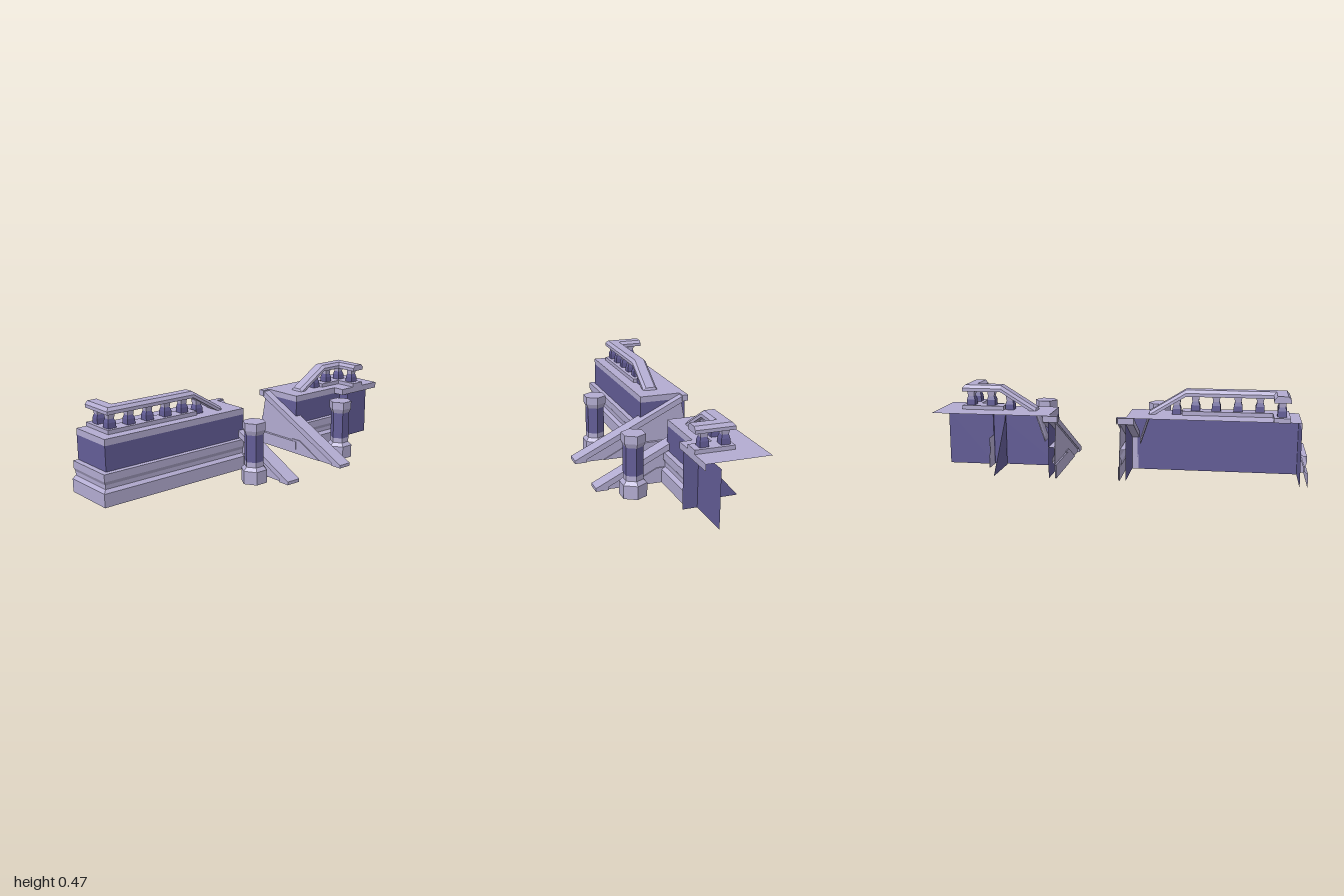
import * as THREE from 'three';

const light = new THREE.MeshStandardMaterial({ color: 0xb3acd1, flatShading: true, side: THREE.DoubleSide });
const dark = new THREE.MeshStandardMaterial({ color: 0x635d97, flatShading: true, side: THREE.DoubleSide });

function add(parent, name, geometry, material) {
  const mesh = new THREE.Mesh(geometry, material);
  mesh.name = name;
  parent.add(mesh);
  return mesh;
}

// Sweeps a profile of [outward, y] along a path of [x, z, drop] with mitred corners
function sweep(path, profile, solid = false) {
  const pos = [], index = [], n = profile.length;
  const normal = (a, b) => new THREE.Vector2(a[1] - b[1], b[0] - a[0]).normalize();
  path.forEach((p, i) => {
    const n1 = normal(path[Math.max(i - 1, 0)], path[Math.max(i, 1)]);
    const last = path.length - 1;
    const n2 = normal(path[Math.min(i, last - 1)], path[Math.min(i + 1, last)]);
    const m = n1.clone().add(n2).divideScalar(1 + n1.dot(n2));
    for (const [o, y] of profile) pos.push(p[0] + m.x * o, y - (p[2] || 0), p[1] + m.y * o);
  });
  const sides = solid ? n : n - 1;
  for (let i = 0; i < path.length - 1; i++)
    for (let j = 0; j < sides; j++) {
      const k = (j + 1) % n, a = i * n, b = a + n;
      index.push(a + j, b + j, b + k, a + j, b + k, a + k);
    }
  if (solid) {
    const e = (path.length - 1) * n;
    for (let j = 1; j < n - 1; j++) index.push(0, j, j + 1, e, e + j + 1, e + j);
  }
  const g = new THREE.BufferGeometry();
  g.setAttribute('position', new THREE.Float32BufferAttribute(pos, 3));
  g.setIndex(index);
  g.computeVertexNormals();
  return g;
}

// Flat horizontal sheet from [x, z] corners
function sheet(points, y) {
  const s = new THREE.Shape(points.map(([x, z]) => new THREE.Vector2(x, -z)));
  return new THREE.ShapeGeometry(s).rotateX(-Math.PI / 2).translate(0, y, 0);
}

// Upright plate from [z, y] corners, thickened from x0 to x1
function sidePlate(points, x0, x1) {
  const s = new THREE.Shape(points.map(([z, y]) => new THREE.Vector2(-z, y)));
  return new THREE.ExtrudeGeometry(s, { depth: x1 - x0, bevelEnabled: false })
    .rotateY(Math.PI / 2).translate(x0, 0, 0);
}

// Prism ring with its own lower and upper radius
function frustum(r0, r1, y0, y1, sides, turn) {
  return new THREE.CylinderGeometry(r1, r0, y1 - y0, sides, 1, false, turn).translate(0, (y0 + y1) / 2, 0);
}

const moulding = [[0.04, 0], [0.04, 0.073], [0.02, 0.088], [0.02, 0.11], [0.03, 0.13], [0.03, 0.17], [0, 0.17]];
const railProfile = [[-0.0425, 0.44], [-0.0425, 0.458], [-0.0275, 0.475], [0.0275, 0.475], [0.0425, 0.458], [0.0425, 0.44]];
const plinthProfile = [[-0.0425, 0.338], [-0.0425, 0.362], [0.0425, 0.362], [0.0425, 0.338]];
const wallProfile = [[0, 0], [0, 0.305]];
const edgeProfile = [[0, 0.305], [0, 0.34]];

function baluster(x, z, drop = 0) {
  const g = new THREE.Group();
  g.name = 'baluster';
  const q = Math.SQRT1_2, turn = Math.PI / 4;
  add(g, 'balusterFoot', frustum(0.048 * q, 0.046 * q, 0.362, 0.392, 4, turn), dark);
  add(g, 'balusterWaist', frustum(0.046 * q, 0.034 * q, 0.392, 0.411, 4, turn), dark);
  add(g, 'balusterNeck', frustum(0.034 * q, 0.042 * q, 0.411, 0.44, 4, turn), light);
  g.position.set(x, -drop, z);
  return g;
}

function pier(x, z) {
  const g = new THREE.Group();
  g.name = 'hexagonalPier';
  const rings = [
    ['pierBase', 0.0735, 0.0735, 0, 0.073, light], ['pierBaseSlope', 0.0735, 0.054, 0.073, 0.092, light],
    ['pierCollar', 0.054, 0.054, 0.092, 0.12, light], ['pierShaft', 0.054, 0.054, 0.12, 0.271, dark],
    ['pierFlare', 0.054, 0.065, 0.271, 0.296, light], ['pierHead', 0.065, 0.065, 0.296, 0.338, light],
  ];
  for (const [name, r0, r1, y0, y1, m] of rings) add(g, name, frustum(r0, r1, y0, y1, 6, Math.PI / 6), m);
  g.position.set(x, 0, z);
  return g;
}

// Sloping side of the stair, x0 to x1 wide, with its rear panel at stairX
function stringer(x0, x1, stairX) {
  const g = new THREE.Group();
  g.name = 'stairStringer';
  const top = (z) => 0.185 - 0.485 * z;
  const low = (z) => 0.149 - 0.485 * z;
  add(g, 'stringerCap', sidePlate([[0.34, 0], [0.34, 0.018], [-0.315, top(-0.315)], [-0.315, low(-0.315)], [0.27, 0.018], [0.27, 0]], x0, x1), light);
  add(g, 'stringerPanel', sidePlate([[0.27, 0], [0.27, 0.018], [-0.067, low(-0.067)], [-0.067, 0]], x0 + 0.012, x1 - 0.012), light);
  add(g, 'stringerRearPanel', sidePlate([[-0.067, 0], [-0.067, low(-0.067)], [-0.305, low(-0.305)], [-0.335, 0.14], [-0.335, 0]], stairX - 0.001, stairX + 0.001), light);
  add(g, 'stringerTrim', sidePlate([[0.17, 0], [0, 0.085], [-0.067, 0.085], [-0.067, 0]], x0 + 0.006, x1 - 0.006), light);
  return g;
}

function leftTerrace() {
  const g = new THREE.Group();
  g.name = 'longTerrace';
  const wall = [[-0.96, -0.34], [-0.96, -0.067], [-0.055, -0.067], [-0.055, -0.34]];
  const cap = [...wall.slice(0, 3), [-0.055, -0.305], [-0.005, -0.305], [-0.005, -0.34]];
  add(g, 'baseMoulding', sweep(wall, moulding), light);
  add(g, 'wall', sweep(wall, wallProfile), dark);
  add(g, 'terraceTop', sheet(cap, 0.34), light);
  add(g, 'terraceEdge', sweep(cap, edgeProfile), light);
  const z = -0.1675, back = [-0.86, -0.34], corner = [-0.86, z];
  add(g, 'railPlinth', sweep([back, corner, [-0.34, z]], plinthProfile, true), light);
  add(g, 'handrail', sweep([back, corner, [-0.36, z], [-0.165, z, 0.12], [-0.115, z, 0.27]], railProfile, true), light);
  for (const x of [-0.865, -0.75, -0.635, -0.52, -0.41]) g.add(baluster(x, z));
  g.add(baluster(-0.31, z, 0.022), baluster(-0.86, -0.28));
  g.add(stringer(-0.095, -0.01, -0.022));
  return g;
}

function rightTerrace() {
  const g = new THREE.Group();
  g.name = 'shortTerrace';
  const wall = [[0.36, -0.34], [0.36, -0.067], [0.74, -0.067]];
  const edge = [[0.31, -0.34], [0.31, -0.305], [0.36, -0.305], [0.36, -0.067], [0.69, -0.067], [0.69, 0], [1, 0]];
  add(g, 'baseMoulding', sweep(wall, moulding), light);
  add(g, 'wall', sweep(wall, wallProfile), dark);
  // Fin at the end of the moulding, with the recessed wall beside it
  add(g, 'wallFin', sweep([[0.74, 0], [0.74, -0.08]], wallProfile), dark);
  add(g, 'recessedWall', sweep([[0.74, -0.08], [1, -0.08]], wallProfile), dark);
  // Diagonal gusset and moulding end behind the recessed wall
  add(g, 'gusset', sidePlate([[-0.08, 0], [-0.08, 0.29], [-0.335, 0]], 0.665, 0.667), dark);
  const end = moulding.slice(0, 6).map(([o, y]) => [-0.13 - o, y]);
  add(g, 'mouldingEnd', sidePlate([[-0.08, 0], ...end, [-0.08, 0.17]], 0.74, 0.742), light);
  add(g, 'terraceTop', sheet([...edge, [1, -0.34]], 0.34), light);
  add(g, 'terraceEdge', sweep(edge, edgeProfile), light);
  const z = -0.1675, corner = [0.83, z], front = [0.83, 0];
  add(g, 'railPlinth', sweep([[0.64, z], corner, front], plinthProfile, true), light);
  add(g, 'handrail', sweep([[0.41, z, 0.27], [0.46, z, 0.12], [0.655, z], corner, front], railProfile, true), light);
  g.add(baluster(0.61, z, 0.022), baluster(0.715, z), baluster(0.83, z), baluster(0.83, -0.057));
  g.add(stringer(0.315, 0.395, 0.327));
  return g;
}

export function createModel() {
  const model = new THREE.Group();
  model.name = 'terraceStairSides';
  model.add(leftTerrace(), rightTerrace(), pier(-0.185, 0.169), pier(0.489, 0.169));
  return model;
}
